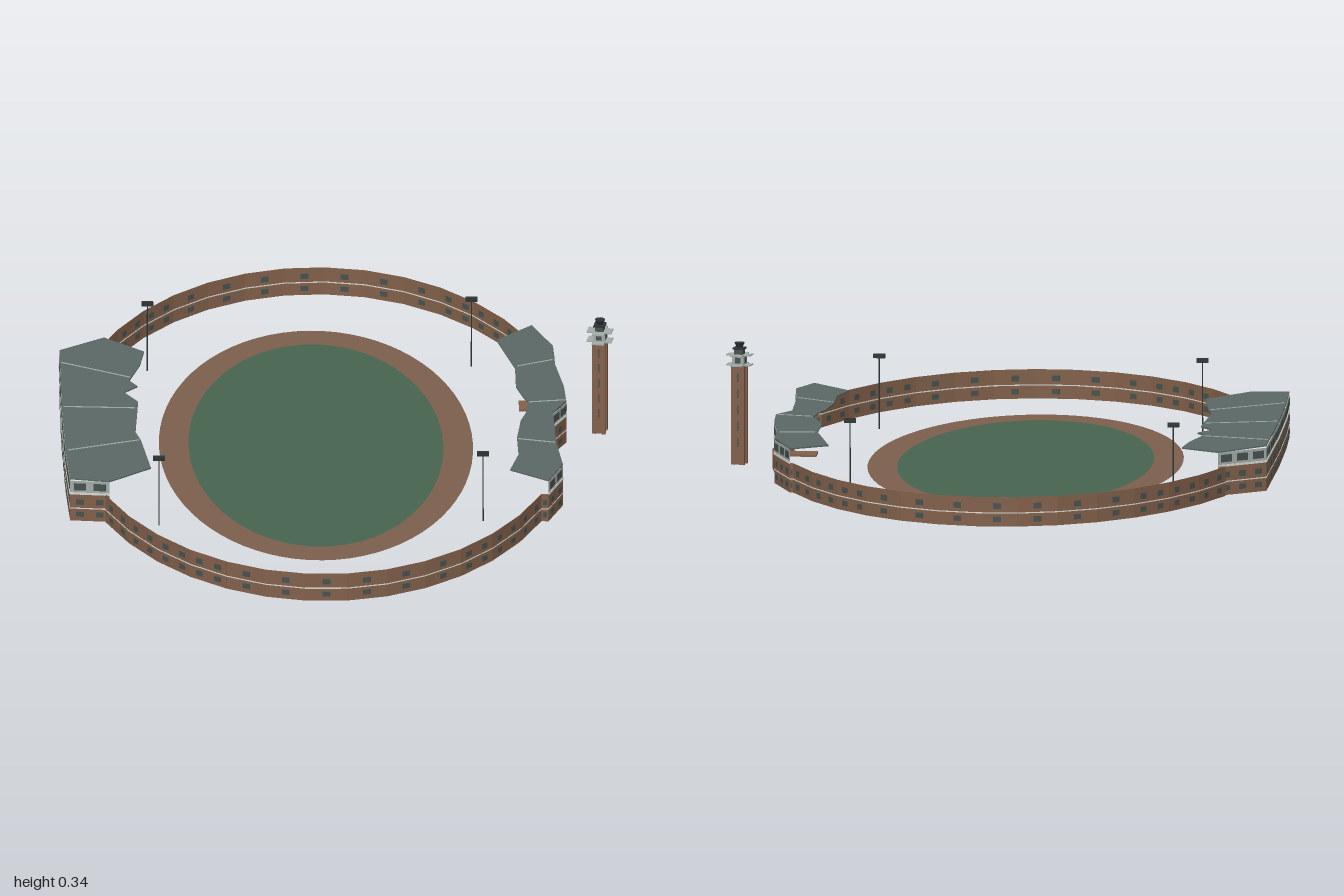
import * as THREE from 'three';
import { mergeGeometries } from 'three/addons/utils/BufferGeometryUtils.js';

const mat = (name, color, side = THREE.FrontSide) => {
  const m = new THREE.MeshStandardMaterial({ color, side });
  m.name = name;
  return m;
};

export function createModel() {
  const group = new THREE.Group();
  group.name = 'stadium';
  const M = {
    brick: mat('brick', 0x82604a),
    track: mat('track', 0x7c5f4d, THREE.DoubleSide),
    grass: mat('grass', 0x476450, THREE.DoubleSide),
    roof: mat('slate roof', 0x5a6865),
    glass: mat('window glass', 0x47524f),
    white: mat('white trim', 0xd6d7d2),
    grey: mat('grey panel', 0xa3aca9),
    metal: mat('dark metal', 0x2d3436),
  };
  const add = (name, geometry, material, parent = group) => {
    const mesh = new THREE.Mesh(geometry, material);
    mesh.name = name;
    parent.add(mesh);
    return mesh;
  };

  // Ground plan: long axis turned about 12 degrees from z
  const TILT = 0.21, S = Math.sin(TILT), C = Math.cos(TILT);
  const plan = (l, w) => [l * S + w * C, l * C - w * S];
  const arc = (t0, t1, n) => Array.from({ length: n + 1 }, (_, i) => {
    const t = t0 + (t1 - t0) * i / n;
    return plan(1.013 * Math.cos(t), 0.695 * Math.sin(t));
  });

  // Field and running track
  const oval = (a, b) => Array.from({ length: 72 }, (_, i) => {
    const t = i / 72 * Math.PI * 2, [x, z] = plan(a * Math.cos(t), b * Math.sin(t));
    return new THREE.Vector2(x - 0.015, -(z - 0.007));
  });
  const flat = (pts, hole) => {
    const shape = new THREE.Shape(pts);
    if (hole) shape.holes.push(new THREE.Path(hole));
    return new THREE.ShapeGeometry(shape).rotateX(-Math.PI / 2).translate(0, 0.002, 0);
  };
  add('track', flat(oval(0.758, 0.439), oval(0.668, 0.356)), M.track);
  add('grass', flat(oval(0.668, 0.356)), M.grass);

  // Upright plate between two plan points
  const plate = ([x0, z0], [x1, z1], y0, y1, thick) => {
    const dx = x1 - x0, dz = z1 - z0;
    return new THREE.BoxGeometry(Math.hypot(dx, dz), y1 - y0, thick)
      .rotateY(-Math.atan2(dz, dx))
      .translate((x0 + x1) / 2, (y0 + y1) / 2, (z0 + z1) / 2);
  };
  // Evenly spaced plates along a wall stretch
  const row = (list, p, q, spacing, width, y0, y1, thick) => {
    const len = Math.hypot(q[0] - p[0], q[1] - p[1]);
    const n = Math.max(1, Math.round(len / spacing)), h = Math.min(width, len * 0.6) / len / 2;
    const at = (f) => [p[0] + (q[0] - p[0]) * f, p[1] + (q[1] - p[1]) * f];
    for (let i = 0; i < n; i++) {
      const f = (i + 0.5) / n;
      list.push(plate(at(f - h), at(f + h), y0, y1, thick));
    }
  };

  // Outer edges of the two stands
  const leftEdge = [[-0.49, 0.59], [-0.6, 0.6], [-0.645, 0.425], [-0.71, 0.14], [-0.785, -0.225], [-0.68, -0.34]];
  const rightEdge = [[0.48, -0.64], [0.565, -0.51], [0.59, -0.4], [0.645, -0.25], [0.668, -0.16],
    [0.645, -0.08], [0.69, 0.11], [0.735, 0.25], [0.715, 0.36]];
  const frontArc = arc(1.054, -1.08, 13), backArc = arc(-2.058, -4.166, 13);

  // Ring wall with two rows of windows and a pale string course
  const brick = [], glass = [], trim = [];
  const wall = (pts, spacing) => {
    for (let i = 0; i + 1 < pts.length; i++) {
      const p = pts[i], q = pts[i + 1];
      if (Math.hypot(q[0] - p[0], q[1] - p[1]) < 0.005) continue;
      brick.push(plate(p, q, 0, 0.083, 0.001));
      trim.push(plate(p, q, 0.037, 0.04, 0.003));
      row(glass, p, q, spacing, 0.022, 0.013, 0.028, 0.004);
      row(glass, p, q, spacing, 0.022, 0.05, 0.066, 0.004);
    }
  };
  wall(frontArc, 0.085);
  wall(backArc, 0.085);
  wall([frontArc.at(-1), ...leftEdge, backArc[0]], 0.055);
  wall([backArc.at(-1), ...rightEdge, frontArc[0]], 0.06);
  add('ringWall', mergeGeometries(brick), M.brick);
  add('wallWindows', mergeGeometries(glass), M.glass);
  add('stringCourse', mergeGeometries(trim), M.white);

  // Roofed stands: glazed gallery, roof falling toward the field, seam lines
  const stand = (name, edge, inner, seams) => {
    const g = new THREE.Group();
    g.name = name;
    group.add(g);
    const panels = [], panes = [], ledge = [];
    for (let i = 0; i + 1 < edge.length; i++) {
      const p = edge[i], q = edge[i + 1];
      panels.push(plate(p, q, 0.083, 0.122, 0.001));
      ledge.push(plate(p, q, 0.081, 0.087, 0.005));
      row(panes, p, q, 0.05, 0.034, 0.094, 0.115, 0.004);
    }
    add('galleryPanels', mergeGeometries(panels), M.grey, g);
    add('galleryWindows', mergeGeometries(panes), M.glass, g);
    add('galleryLedge', mergeGeometries(ledge), M.white, g);

    const height = (x, z) => 0.128 - 0.045 * Math.max(0, 0.7 - Math.abs(x * C - z * S));
    const shape = new THREE.Shape([...edge, ...inner].map(([x, z]) => new THREE.Vector2(x, -z)));
    const roof = new THREE.ExtrudeGeometry(shape, { depth: 0.004, bevelEnabled: false }).rotateX(-Math.PI / 2);
    const pos = roof.attributes.position;
    for (let i = 0; i < pos.count; i++) pos.setY(i, pos.getY(i) + height(pos.getX(i), pos.getZ(i)) - 0.002);
    roof.computeVertexNormals();
    add('roof', roof, M.roof, g);

    const lines = seams.map(([p, q]) => {
      const line = plate(p, q, 0, 0.002, 0.004);
      const lp = line.attributes.position;
      for (let i = 0; i < lp.count; i++) lp.setY(i, lp.getY(i) + height(lp.getX(i), lp.getZ(i)) + 0.0015);
      return line;
    });
    add('roofSeams', mergeGeometries(lines), M.grey, g);
  };
  stand('leftStand', leftEdge,
    [[-0.555, -0.28], [-0.55, -0.19], [-0.56, -0.08], [-0.53, -0.05], [-0.56, 0], [-0.51, 0.05],
      [-0.48, 0.25], [-0.455, 0.3], [-0.395, 0.47]],
    [[[-0.765, -0.145], [-0.56, -0.1]], [[-0.705, 0.14], [-0.51, 0.095]], [[-0.64, 0.42], [-0.46, 0.3]]]);
  stand('rightStand', rightEdge,
    [[0.595, 0.3], [0.6, 0.2], [0.575, 0.09], [0.565, -0.02], [0.57, -0.07], [0.565, -0.14],
      [0.54, -0.18], [0.51, -0.24], [0.485, -0.36], [0.4, -0.535]],
    [[[0.49, -0.37], [0.58, -0.42]], [[0.565, -0.14], [0.665, -0.163]], [[0.58, 0.1], [0.688, 0.115]]]);

  // Entrance landing inside the wall and its portal outside
  const landing = new THREE.BoxGeometry(0.11, 0.006, 0.06).rotateY(TILT).translate(0.565, 0.045, -0.29);
  add('entranceLanding', landing, M.brick);
  add('entrancePortal', plate([0.605, -0.36], [0.637, -0.275], 0, 0.055, 0.012), M.brick);

  // Tower: shaft, corner piers, slit windows, decks and lantern
  const tower = new THREE.Group();
  tower.name = 'tower';
  tower.position.set(0.747, 0, -0.25);
  group.add(tower);
  const box = (name, w, y0, y1, d, m, x = 0, z = 0) =>
    add(name, new THREE.BoxGeometry(w, y1 - y0, d).translate(x, (y0 + y1) / 2, z), m, tower);
  box('shaft', 0.03, 0, 0.285, 0.03, M.brick);
  for (const sx of [-1, 1]) for (const sz of [-1, 1]) {
    box('cornerPier', 0.011, 0, 0.28, 0.011, M.brick, sx * 0.0135, sz * 0.0135);
  }
  for (let i = 0; i < 5; i++) {
    const y = 0.05 + i * 0.046;
    box('slitWindowX', 0.032, y, y + 0.026, 0.004, M.glass);
    box('slitWindowZ', 0.004, y, y + 0.026, 0.032, M.glass);
  }
  for (const y of [0.281, 0.309]) {
    box('deckAcross', 0.07, y, y + 0.003, 0.034, M.grey);
    box('deckAlong', 0.034, y, y + 0.003, 0.07, M.grey);
  }
  box('belfry', 0.034, 0.284, 0.309, 0.034, M.grey);
  box('belfryOpeningX', 0.036, 0.288, 0.304, 0.016, M.glass);
  box('belfryOpeningZ', 0.016, 0.288, 0.304, 0.036, M.glass);
  box('lantern', 0.024, 0.312, 0.33, 0.024, M.glass);
  box('lanternCap', 0.032, 0.326, 0.331, 0.032, M.metal);
  add('finial', new THREE.CylinderGeometry(0.015, 0.008, 0.014, 8).translate(0, 0.338, 0), M.metal, tower);

  // Floodlights
  for (const [x, z] of [[-0.57, -0.41], [0.315, -0.605], [0.535, 0.392], [-0.35, 0.588]]) {
    const light = new THREE.Group();
    light.name = 'floodlight';
    light.position.set(x, 0, z);
    light.rotation.y = TILT;
    group.add(light);
    add('pole', new THREE.CylinderGeometry(0.0018, 0.0022, 0.205, 6).translate(0, 0.1025, 0), M.metal, light);
    add('lampHead', new THREE.BoxGeometry(0.033, 0.012, 0.01).translate(0, 0.207, 0), M.metal, light);
  }
  return group;
}
